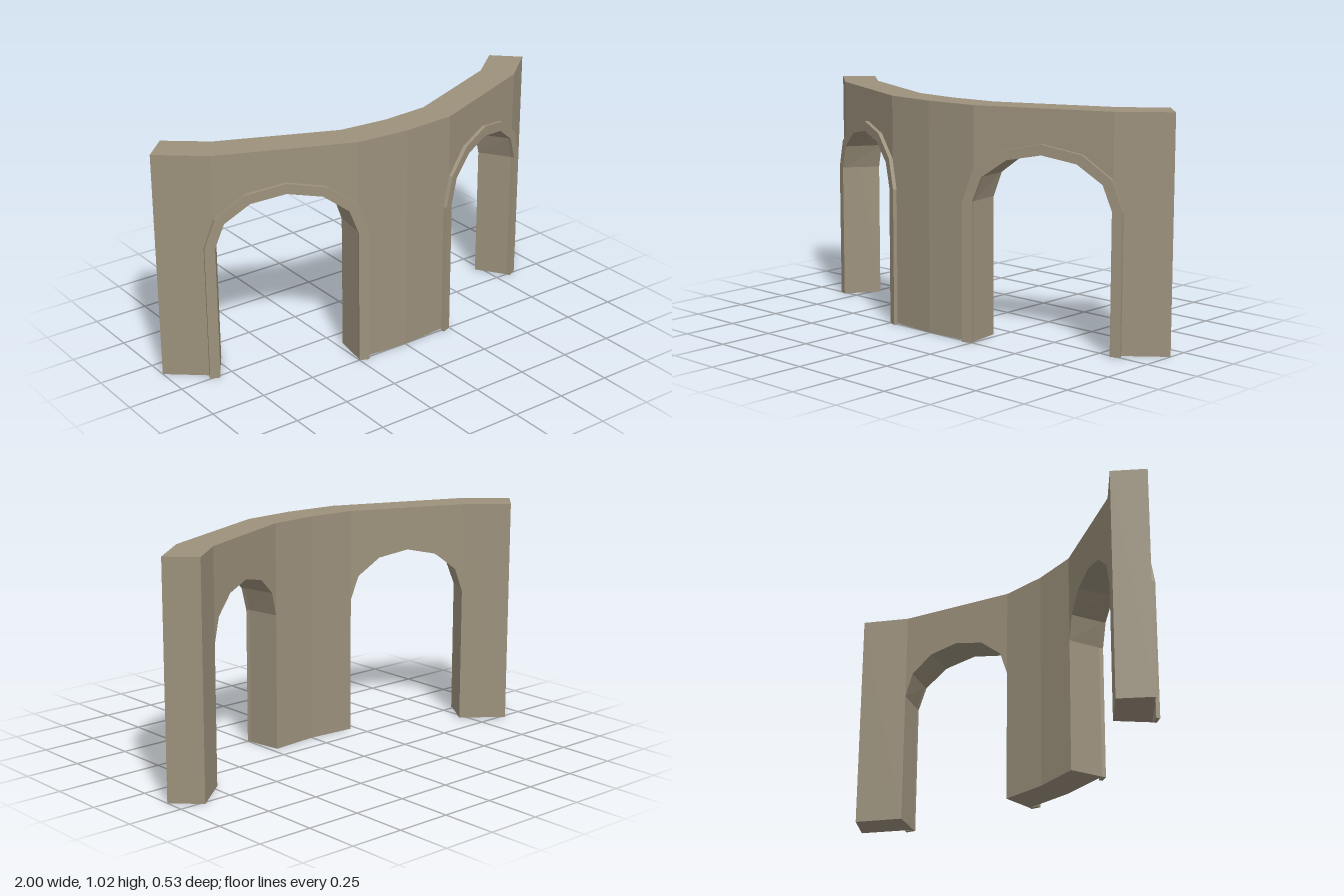
import * as THREE from 'three';

const HEIGHT = 1.02;
const SPRING = 0.612; // height where the arches begin
const RISE = 0.215;
const TRIM = 0.045;
const TRIM_DEPTH = 0.017;

// plan points [x, z] of the right half, outer (front) and inner (back) faces
const outer = { mid: [0, 0.254], near: [0.245, 0.235], far: [0.81, 0], end: [1, -0.158] };
const inner = { mid: [0, 0.1], near: [0.22, 0.082], far: [0.722, -0.13], end: [0.89, -0.267] };
const flip = ([x, z]) => [-x, z];

// six-sided half ellipse, from left to right
function archPoints(centre, rx, ry) {
  return Array.from({ length: 7 }, (_, i) => {
    const a = Math.PI * (1 - i / 6);
    return new THREE.Vector2(centre + rx * Math.cos(a), SPRING + ry * Math.sin(a));
  });
}

export function createModel() {
  const group = new THREE.Group();
  const stone = new THREE.MeshStandardMaterial({ color: 0x9c917c, flatShading: true });
  stone.name = 'stone';

  const add = (name, geometry) => {
    const mesh = new THREE.Mesh(geometry, stone);
    mesh.name = name;
    group.add(mesh);
  };

  // upright pier from a plan outline
  const addPier = (name, plan) => {
    const shape = new THREE.Shape(plan.map(([x, z]) => new THREE.Vector2(x, -z)));
    const geometry = new THREE.ExtrudeGeometry(shape, { depth: HEIGHT, bevelEnabled: false });
    add(name, geometry.rotateX(-Math.PI / 2));
  };

  // wall above an opening, fitted between its front and back edges
  const addArch = (name, f0, f1, b0, b1) => {
    const shape = new THREE.Shape([
      ...archPoints(0.5, 0.5, RISE),
      new THREE.Vector2(1, HEIGHT),
      new THREE.Vector2(0, HEIGHT),
    ]);
    const geometry = new THREE.ExtrudeGeometry(shape, { depth: 1, bevelEnabled: false });
    const p = geometry.attributes.position;
    const mix = THREE.MathUtils.lerp;
    for (let i = 0; i < p.count; i++) {
      const t = p.getX(i), d = p.getZ(i);
      p.setX(i, mix(mix(b0[0], b1[0], t), mix(f0[0], f1[0], t), d));
      p.setZ(i, mix(mix(b0[1], b1[1], t), mix(f0[1], f1[1], t), d));
    }
    geometry.computeVertexNormals();
    add(name, geometry);
  };

  // raised band around the front of an opening
  const addTrim = (name, f0, f1) => {
    const along = new THREE.Vector3(f1[0] - f0[0], 0, f1[1] - f0[1]);
    const half = along.length() / 2;
    along.normalize();
    const up = new THREE.Vector3(0, 1, 0);
    const out = new THREE.Vector3().crossVectors(along, up);
    const w = half + TRIM;
    const shape = new THREE.Shape([
      new THREE.Vector2(half - w, 0),
      ...archPoints(half, w, RISE + TRIM),
      new THREE.Vector2(half + w, 0),
      new THREE.Vector2(half * 2, 0),
      ...archPoints(half, half, RISE).reverse(),
      new THREE.Vector2(0, 0),
    ]);
    const geometry = new THREE.ExtrudeGeometry(shape, { depth: TRIM_DEPTH, bevelEnabled: false });
    const place = new THREE.Matrix4().makeBasis(along, up, out).setPosition(f0[0], 0, f0[1]);
    add(name, geometry.applyMatrix4(place));
  };

  addPier('centrePier', [
    flip(outer.near), outer.mid, outer.near,
    inner.near, inner.mid, flip(inner.near),
  ]);

  const endPlan = [outer.far, outer.end, inner.end, inner.far];
  addPier('leftEndPier', endPlan);
  addPier('rightEndPier', endPlan.map(flip));

  addArch('leftArch', outer.near, outer.far, inner.near, inner.far);
  addArch('rightArch', flip(outer.far), flip(outer.near), flip(inner.far), flip(inner.near));

  addTrim('leftArchTrim', outer.near, outer.far);
  addTrim('rightArchTrim', flip(outer.far), flip(outer.near));

  return group;
}
